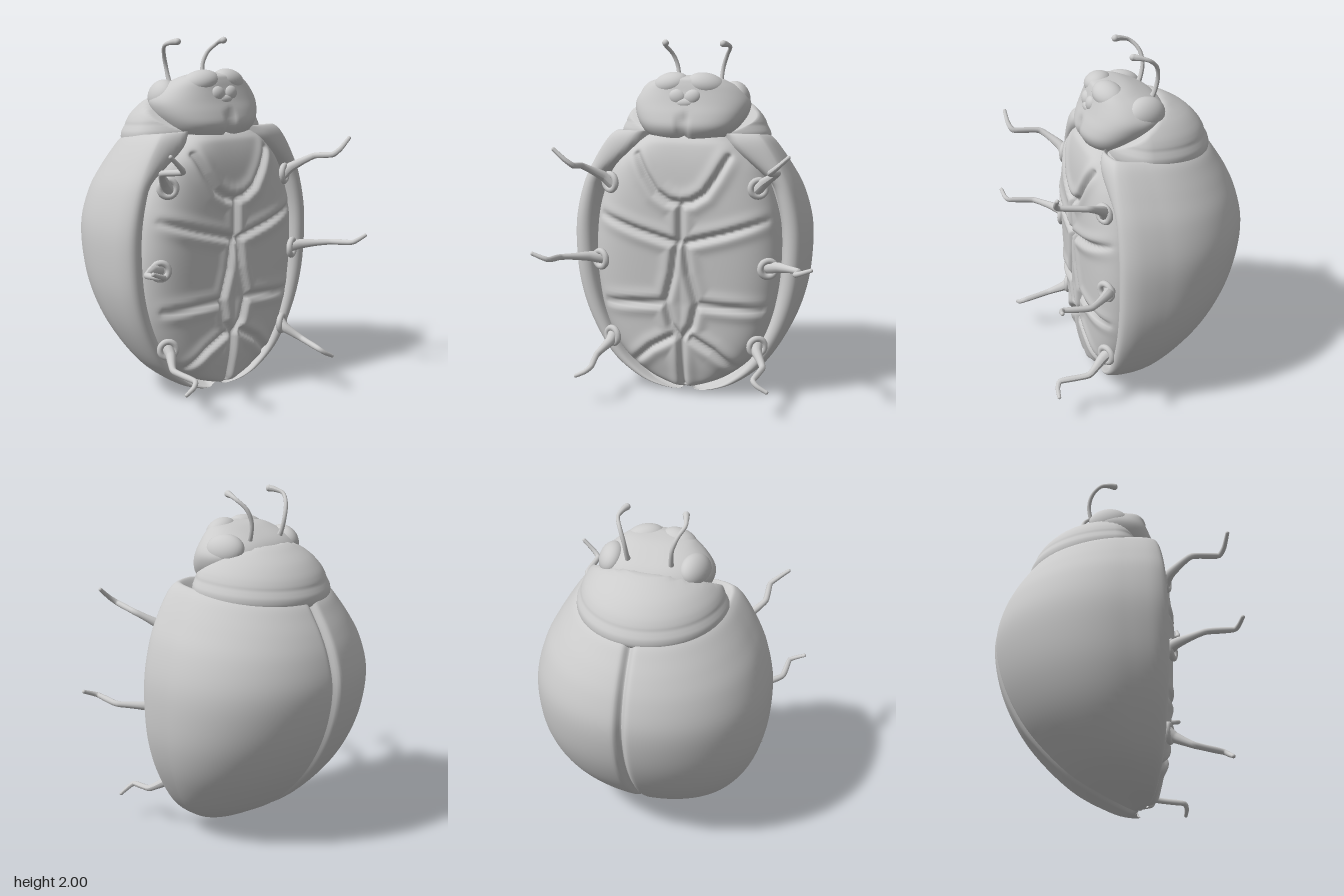
import * as THREE from 'three';
import { mergeVertices } from 'three/addons/utils/BufferGeometryUtils.js';

const material = new THREE.MeshStandardMaterial({ color: 0xcccccc, roughness: 0.8, side: THREE.DoubleSide });
const { smoothstep, clamp } = THREE.MathUtils;

// Smooth interpolation through rows of numbers, t in 0..1
function sample(rows, t) {
  const f = t * (rows.length - 1), i = Math.min(Math.floor(f), rows.length - 2), s = f - i;
  const at = (k) => rows[Math.max(0, Math.min(rows.length - 1, k))];
  return rows[0].map((_, c) => {
    const [a, b, d, e] = [at(i - 1)[c], at(i)[c], at(i + 1)[c], at(i + 2)[c]];
    return b + 0.5 * s * (d - a + s * (2 * a - 5 * b + 4 * d - e + s * (3 * (b - d) + e - a)));
  });
}

// Smooth surface from a rule point(u, v) -> [x, y, z]
function surface(nu, nv, point, flip = false) {
  const pos = [], index = [];
  for (let i = 0; i <= nu; i++) for (let j = 0; j <= nv; j++) pos.push(...point(i / nu, j / nv));
  for (let i = 0; i < nu; i++) for (let j = 0; j < nv; j++) {
    const a = i * (nv + 1) + j, b = a + nv + 1;
    if (flip) index.push(a, a + 1, b, b, a + 1, b + 1);
    else index.push(a, b, a + 1, b, b + 1, a + 1);
  }
  let g = new THREE.BufferGeometry();
  g.setAttribute('position', new THREE.Float32BufferAttribute(pos, 3));
  g.setIndex(index);
  g = mergeVertices(g, 1e-4);
  g.computeVertexNormals();
  return g;
}

function add(parent, name, geometry) {
  const mesh = new THREE.Mesh(geometry, material);
  mesh.name = name;
  parent.add(mesh);
  return mesh;
}

function ellipsoid(parent, name, center, radii, rotation = [0, 0, 0]) {
  const m = add(parent, name, new THREE.SphereGeometry(1, 32, 20));
  m.position.set(...center);
  m.scale.set(...radii);
  m.rotation.set(...rotation);
}

// Tube whose radius follows a list, with a rounded tip
function limb(parent, name, points, radii, tension) {
  const group = new THREE.Group();
  group.name = name;
  const curve = new THREE.CatmullRomCurve3(points.map((p) => new THREE.Vector3(...p)), false, 'catmullrom', tension);
  const n = 40, g = new THREE.TubeGeometry(curve, n, 1, 12), p = g.attributes.position, v = new THREE.Vector3();
  for (let i = 0; i <= n; i++) {
    const c = curve.getPointAt(i / n), r = sample(radii.map((x) => [x]), i / n)[0];
    for (let j = 0; j <= 12; j++) {
      const k = i * 13 + j;
      v.fromBufferAttribute(p, k).sub(c).multiplyScalar(r).add(c);
      p.setXYZ(k, v.x, v.y, v.z);
    }
  }
  g.computeVertexNormals();
  add(group, name + 'Shaft', g);
  const end = radii[radii.length - 1];
  ellipsoid(group, name + 'Tip', points[points.length - 1], [end, end, end]);
  parent.add(group);
}

const bump = (d, width) => Math.exp(-((d / width) ** 2));

// Wing cases: [y, half width, back z, rim z]
const shellRows = [
  [0.012, 0, 0.18, 0.18], [0.0, 0.07, 0.16, 0.2], [0.025, 0.18, 0.1, 0.235], [0.08, 0.31, -0.01, 0.245],
  [0.2, 0.46, -0.21, 0.25], [0.4, 0.585, -0.41, 0.25], [0.6, 0.655, -0.535, 0.25], [0.8, 0.68, -0.605, 0.25],
  [1.0, 0.675, -0.625, 0.25], [1.2, 0.625, -0.592, 0.25], [1.34, 0.555, -0.54, 0.25], [1.44, 0.49, -0.48, 0.245],
  [1.49, 0.445, -0.44, 0.23], [1.5, 0.41, -0.41, 0.21], [1.45, 0.37, -0.36, 0.18]];
const rimRows = [[1, 0], [1, 0.35], [0.985, 0.7], [0.94, 0.95], [0.87, 1], [0.81, 0.85], [0.76, 0.3]];
function wingCase(side) {
  return surface(70, 64, (u, v) => {
    let [y, w, back, rim] = sample(shellRows, u);
    w = Math.max(0, w);
    const mid = rim - 0.3 * (rim - back);
    let x, z;
    if (v < 0.65) {
      const a = (Math.PI / 2) * (v / 0.65) ** 1.5;
      x = w * Math.sin(a);
      z = mid - (mid - back) * Math.cos(a);
    } else {
      // the rim broadens into a shoulder near the top
      const t = (v - 0.65) / 0.35, [fx, fz] = sample(rimRows, t);
      const shoulder = smoothstep(y, 1.2, 1.46) * Math.max(0, 2 * t - 1);
      x = w * (fx - 0.33 * shoulder);
      z = mid + (rim - mid) * (fz + 0.4 * shoulder * t);
    }
    const seam = bump(x, 0.022);
    if (v < 0.65) z += 0.04 * seam;
    y -= 0.08 * ((rim - z) / 0.65) * smoothstep(y, 0.8, 1.5);
    y += 0.035 * seam * (1 - smoothstep(y, 0, 0.1));
    return [side * x, Math.max(0, y), z];
  }, side < 0);
}

// Belly: [y, half width, front z], with plate grooves given as half-side polylines
const bellyRows = [
  [0.04, 0.02, 0.25], [0.06, 0.14, 0.28], [0.12, 0.27, 0.3], [0.25, 0.41, 0.325], [0.45, 0.5, 0.335],
  [0.7, 0.54, 0.345], [0.9, 0.54, 0.35], [1.1, 0.51, 0.35], [1.3, 0.43, 0.335], [1.42, 0.32, 0.31],
  [1.47, 0.25, 0.28], [1.51, 0.17, 0.22]];
const grooves = [
  [[0.26, 1.38], [0.2, 1.27], [0.14, 1.18], [0.07, 1.135], [0, 1.12]],
  [[0, 1.12], [0, 0.9]],
  [[0.03, 0.9], [0.25, 0.96], [0.47, 1.03]],
  [[0.02, 0.9], [0.045, 0.72], [0.09, 0.55], [0.06, 0.42], [0, 0.34]],
  [[0.09, 0.55], [0.25, 0.54], [0.45, 0.525]],
  [[0, 0.34], [0, 0.06]],
  [[0.06, 0.35], [0.18, 0.28], [0.29, 0.18]]];
const segments = grooves.flatMap((line) => line.slice(1).map((b, i) => [...line[i], ...b]));
function grooveDistance(x, y) {
  let best = 1;
  for (const [ax, ay, bx, by] of segments) {
    const dx = bx - ax, dy = by - ay;
    const t = clamp(((x - ax) * dx + (y - ay) * dy) / (dx * dx + dy * dy), 0, 1);
    best = Math.min(best, Math.hypot(x - ax - t * dx, y - ay - t * dy));
  }
  return best;
}
const bellyPoint = (u, v) => {
  const [y, w, front] = sample(bellyRows, u), s = 1 - 2 * v, x = w * s;
  const d = grooveDistance(Math.abs(x), y);
  const z = 0.15 + (front - 0.15) * Math.sqrt(Math.max(0, 1 - s ** 4));
  return [x, y, z + (0.012 * bump(d - 0.04, 0.035) - 0.032 * bump(d, 0.018)) * (1 - s ** 4)];
};

// Head: [y, half width, front z, back z]
const headRows = [
  [1.43, 0, 0.14, 0.14], [1.46, 0.19, 0.255, 0], [1.49, 0.25, 0.29, -0.06], [1.54, 0.29, 0.31, -0.11],
  [1.6, 0.32, 0.295, -0.15], [1.66, 0.325, 0.27, -0.165], [1.72, 0.285, 0.25, -0.12], [1.77, 0.22, 0.235, -0.03],
  [1.8, 0.15, 0.215, 0.05], [1.812, 0, 0.15, 0.15]];
const headPoint = (u, v) => {
  const [y, w, front, back] = sample(headRows, u), a = v * Math.PI * 2;
  const power = (c) => Math.sign(c) * Math.abs(c) ** 0.85;
  const x = w * power(Math.sin(a)), c = (front + back) / 2;
  let z = c - ((front - back) / 2) * power(Math.cos(a));
  if (z > c) z -= 0.03 * bump(x, 0.02) * (1 - smoothstep(y, 1.56, 1.64));
  return [x, y, z];
};

// Pronotum: a shallow dome, lipped below, tilted down at the back and sloped away behind the eyes
const pronotumRows = [[0.86, -0.04], [0.96, -0.03], [1.0, -0.005], [1, 0.03], [0.975, 0.055], [0.95, 0.075],
  [0.93, 0.1], [0.86, 0.145], [0.7, 0.205], [0.4, 0.265], [0.2, 0.28], [0, 0.285]];
const pronotumPoint = (u, v) => {
  const [r, h] = sample(pronotumRows, u), a = v * Math.PI * 2;
  const x = 0.43 * r * Math.sin(a), c = -Math.cos(a), z = (c < 0 ? 0.435 : 0.23) * r * c;
  const y = 1.455 + h + 0.09 * Math.min(z, 0.1);
  return [x, Math.min(y, 1.7 - 0.6 * Math.max(0, z + 0.14)), z];
};

const legs = {
  FrontLeg: [[0.4, 1.19, 0.27], [0.46, 1.25, 0.3], [0.55, 1.32, 0.4], [0.54, 1.345, 0.56], [0.58, 1.38, 0.585], [0.64, 1.435, 0.59]],
  MiddleLeg: [[0.48, 0.77, 0.27], [0.55, 0.785, 0.31], [0.675, 0.8, 0.43], [0.685, 0.82, 0.585], [0.72, 0.835, 0.605], [0.77, 0.855, 0.612]],
  HindLeg: [[0.42, 0.33, 0.26], [0.43, 0.29, 0.31], [0.48, 0.235, 0.4], [0.46, 0.215, 0.56], [0.49, 0.19, 0.585], [0.54, 0.165, 0.59]],
};
const sockets = { FrontLeg: [0.425, 1.215, 0.285], MiddleLeg: [0.485, 0.77, 0.295], HindLeg: [0.425, 0.315, 0.28] };

export function createModel() {
  const model = new THREE.Group();
  model.name = 'beetle';
  add(model, 'belly', surface(150, 100, bellyPoint));
  ellipsoid(model, 'thoraxCore', [0, 1.38, 0], [0.38, 0.09, 0.24]);
  add(model, 'pronotum', surface(36, 64, pronotumPoint));
  add(model, 'head', surface(40, 80, headPoint));
  ellipsoid(model, 'lowerLip', [0, 1.665, 0.245], [0.06, 0.03, 0.03]);

  for (const side of [1, -1]) {
    const label = side > 0 ? 'left' : 'right';
    const flip = ([x, y, z]) => [x * side, y, z];
    add(model, label + 'WingCase', wingCase(side));

    // Face
    ellipsoid(model, label + 'Eye', flip([0.24, 1.685, -0.01]), [0.07, 0.09, 0.115], [0, side * 0.3, side * 0.45]);
    ellipsoid(model, label + 'Mandible', flip([0.1, 1.76, 0.16]), [0.11, 0.066, 0.08], [0.2, side * 0.25, side * -0.25]);
    ellipsoid(model, label + 'Palp', flip([0.042, 1.695, 0.235]), [0.052, 0.046, 0.036], [0, 0, side * 0.4]);
    limb(model, label + 'Antenna', [[0.12, 1.69, -0.06], [0.125, 1.76, -0.095], [0.135, 1.84, -0.11], [0.16, 1.91, -0.095],
      [0.188, 1.957, -0.05], [0.18, 1.975, 0], [0.167, 1.981, 0.04]].map(flip), [0.022, 0.014, 0.012, 0.012, 0.011, 0.012, 0.019], 0.5);

    // Legs with their sockets
    for (const [name, path] of Object.entries(legs)) {
      limb(model, label + name, path.map(flip), [0.034, 0.028, 0.02, 0.017, 0.017, 0.014, 0.011], 0.25);
      const socket = add(model, label + name + 'Socket', new THREE.TorusGeometry(0.045, 0.018, 10, 24));
      socket.position.set(...flip(sockets[name]));
      socket.rotation.y = side * 0.5;
    }
  }
  return model;
}
